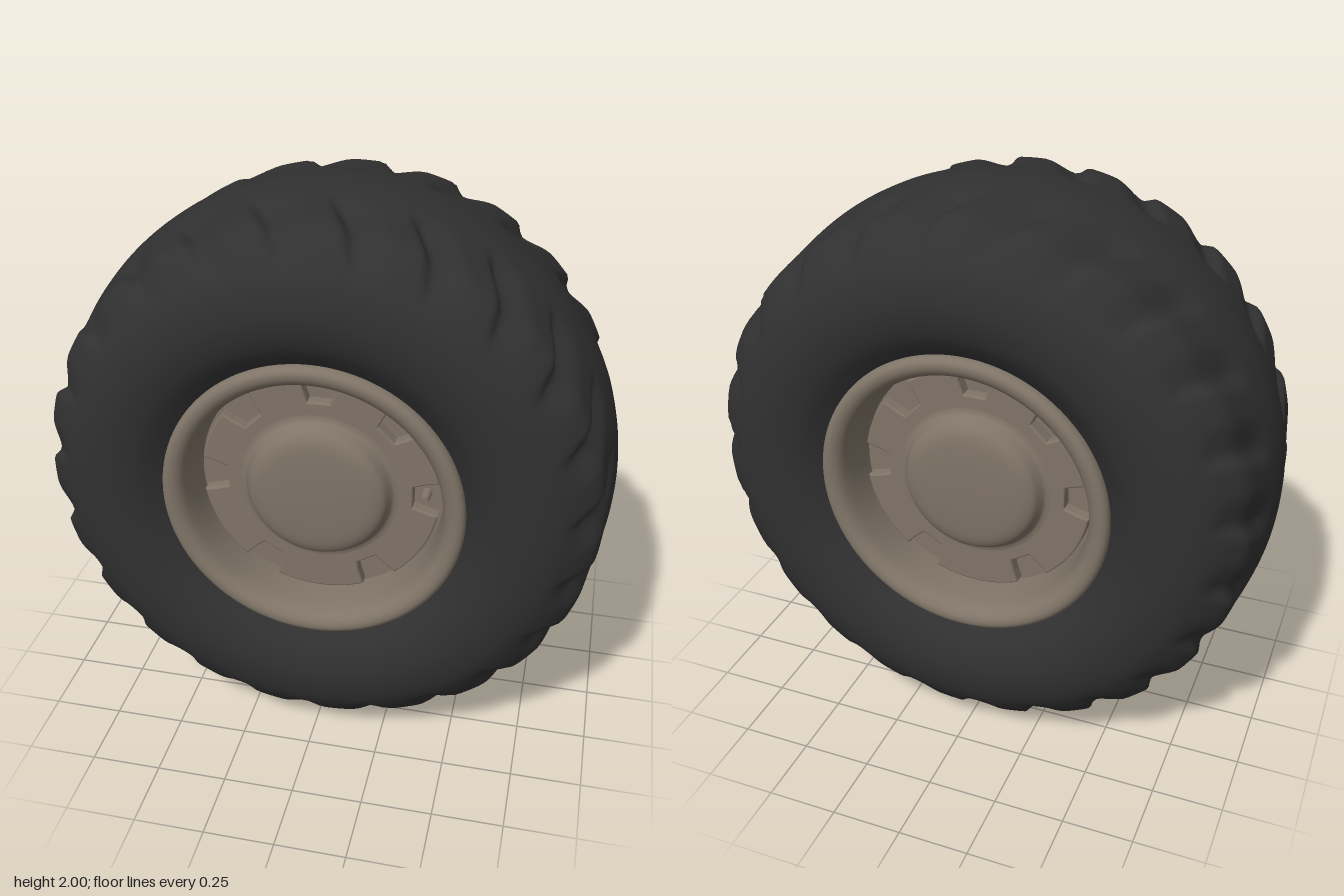
import * as THREE from 'three';
import { mergeVertices } from 'three/addons/utils/BufferGeometryUtils.js';

const v2 = (a) => a.map(([r, z]) => new THREE.Vector2(r, z));

// Revolve an [r, z] profile around the z axis, with a seamless smooth surface
function revolve(points, segments, shape) {
  let g = new THREE.LatheGeometry(points, segments);
  g.rotateX(Math.PI / 2);
  g.deleteAttribute('uv');
  g.deleteAttribute('normal');
  g = mergeVertices(g, 1e-5);
  if (shape) shape(g.attributes.position);
  g.computeVertexNormals();
  return g;
}

const LUGS = 23;
const smooth = THREE.MathUtils.smoothstep;

// Press swept grooves into both shoulders of the tread
function cutTread(pos) {
  for (let i = 0; i < pos.count; i++) {
    const x = pos.getX(i), y = pos.getY(i), z = Math.abs(pos.getZ(i));
    const r = Math.hypot(x, y);
    if (r < 0.8) continue;
    const across = smooth(z, 0.1, 0.22) * (1 - smooth(z, 0.37, 0.46));
    const sweep = 0.09 * Math.sin(((z - 0.25) / 0.25) * 1.4);
    const turn = ((Math.atan2(y, x) + sweep) * LUGS) / (2 * Math.PI) + 0.2;
    const t = turn - Math.floor(turn);
    // sharp wall on one side of the groove, long ramp on the other
    const dip = t < 0.62 ? smooth(t, 0.14, 0.62) : 1 - smooth(t, 0.62, 0.8);
    const k = 1 - (0.032 * across * dip) / r;
    pos.setX(i, x * k);
    pos.setY(i, y * k);
  }
}

// Wheel plate outline with notches around its edge
function plateShape() {
  const R = 0.42, inner = 0.33;
  const pts = [];
  const polar = (r, a) => pts.push(new THREE.Vector2(r * Math.cos(a), r * Math.sin(a)));
  const notches = [0, 45, 90, 135, 180, 239, 301].map(THREE.MathUtils.degToRad);
  notches.forEach((a, i) => {
    polar(R, a - 0.155);
    polar(inner + 0.045, a - 0.145);
    polar(inner, a - 0.12);
    polar(inner, a + 0.12);
    polar(inner + 0.045, a + 0.145);
    const next = i < 6 ? notches[i + 1] : 2 * Math.PI;
    const from = a + 0.155, to = next - 0.155;
    for (let k = 0; k < 12; k++) polar(R, from + ((to - from) * k) / 12);
  });
  return new THREE.Shape(pts);
}

export function createModel() {
  const rubber = new THREE.MeshStandardMaterial({ color: 0x303030 });
  rubber.name = 'dark rubber';
  const paint = new THREE.MeshStandardMaterial({ color: 0x7f7467 });
  paint.name = 'taupe paint';

  const model = new THREE.Group();
  model.name = 'wheel';
  const add = (parent, geometry, material, name) => {
    const mesh = new THREE.Mesh(geometry, material);
    mesh.name = name;
    parent.add(mesh);
    return mesh;
  };

  // Tire: half section mirrored over the centre line
  const half = [[0.49, 0.38], [0.53, 0.415], [0.6, 0.462], [0.68, 0.483], [0.75, 0.481],
    [0.82, 0.462], [0.88, 0.425], [0.925, 0.385], [0.955, 0.35], [0.968, 0.31],
    [0.98, 0.2], [0.993, 0.1]];
  const section = [...half.map(([r, z]) => [r, -z]), [1, 0], ...half.slice().reverse()];
  const tireCurve = new THREE.SplineCurve(v2(section));
  add(model, revolve(tireCurve.getSpacedPoints(90), LUGS * 14, cutTread), rubber, 'tire');

  // Rim faces, the same on both sides
  const lip = new THREE.SplineCurve(v2([[0.505, 0.36], [0.523, 0.4], [0.522, 0.43], [0.505, 0.445],
    [0.48, 0.443], [0.458, 0.425], [0.445, 0.39], [0.437, 0.33], [0.432, 0.25]]));
  const cap = new THREE.SplineCurve(v2([[0.285, 0.299], [0.262, 0.306], [0.25, 0.325], [0.235, 0.35],
    [0.2, 0.366], [0.14, 0.373], [0.07, 0.376], [0.0001, 0.377]]));
  const plate = new THREE.ExtrudeGeometry(plateShape(), {
    depth: 0.035, bevelEnabled: true, bevelThickness: 0.008, bevelSize: 0.006, bevelOffset: -0.006,
    bevelSegments: 2,
  });
  plate.translate(0, 0, 0.257);

  for (const side of ['front', 'back']) {
    const face = new THREE.Group();
    face.name = side + 'RimFace';
    if (side === 'back') face.rotation.y = Math.PI;
    add(face, revolve(lip.getPoints(40), 96), paint, 'rimLip');
    add(face, revolve(v2([[0.436, 0.252], [0.0001, 0.252]]), 96), paint, 'recessFloor');
    add(face, plate, paint, 'notchedPlate');
    add(face, revolve(cap.getPoints(32), 72), paint, 'hubCap');
    model.add(face);
  }

  // Valve stem in one front notch
  const valve = add(model, new THREE.CylinderGeometry(0.014, 0.018, 0.06, 12), paint, 'valveStem');
  valve.rotation.x = Math.PI / 2;
  valve.position.set(0.37, 0, 0.28);

  model.position.y = 1;
  const root = new THREE.Group();
  root.name = 'wheelAssembly';
  root.add(model);
  return root;
}
